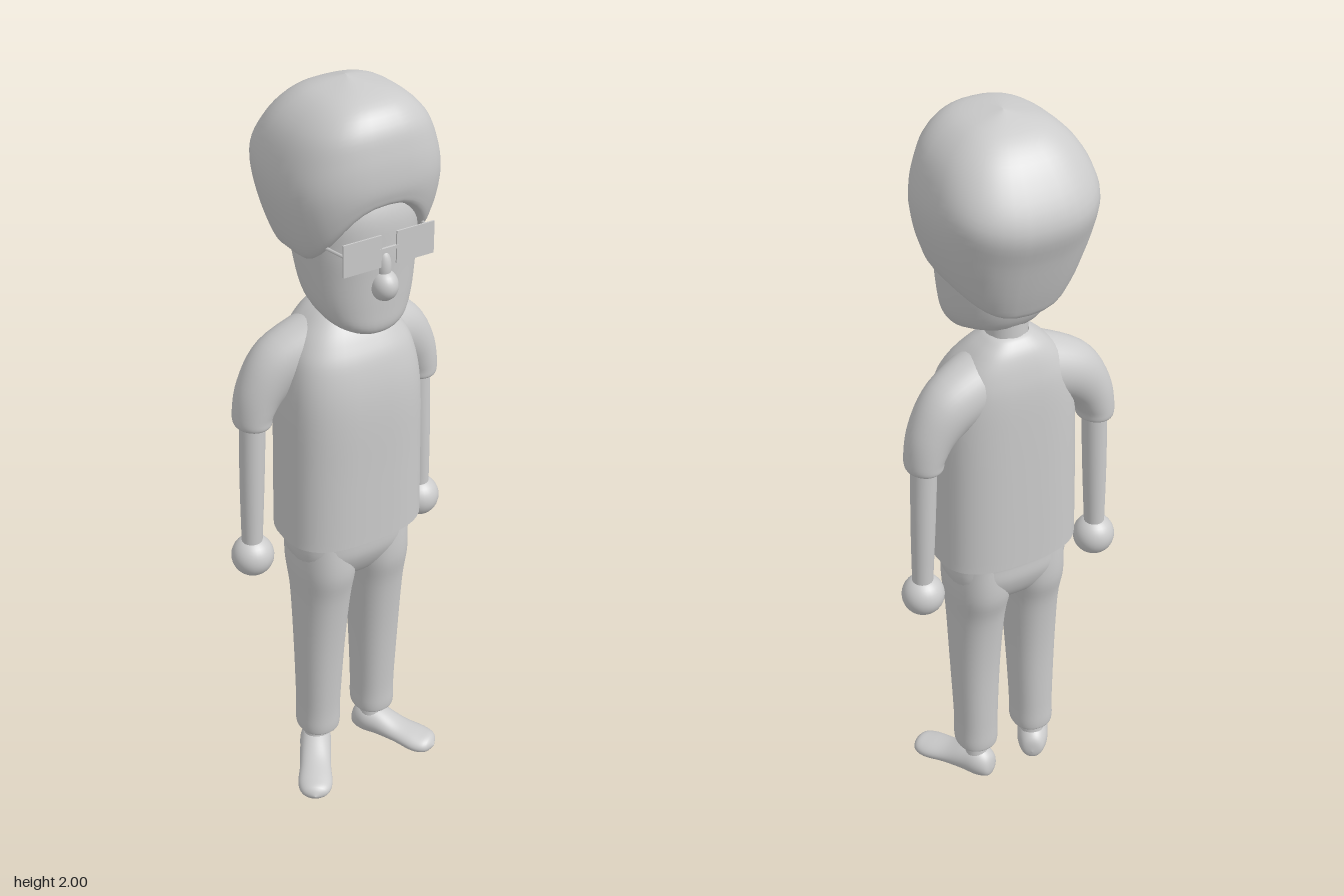
import * as THREE from 'three';

const SEG = 40, STEPS = 5;

// Smoothly interpolate a list of numeric rows (Catmull-Rom on every column).
function refine(rows) {
  const out = [];
  const at = (i) => rows[Math.min(Math.max(i, 0), rows.length - 1)];
  for (let i = 0; i < rows.length - 1; i++) {
    for (let k = 0; k < STEPS; k++) {
      const t = k / STEPS;
      out.push(rows[i].map((p1, c) => {
        const p0 = at(i - 1)[c], p2 = at(i + 1)[c], p3 = at(i + 2)[c];
        return p1 + 0.5 * t * (p2 - p0 + t * (2 * p0 - 5 * p1 + 4 * p2 - p3 + t * (3 * (p1 - p2) + p3 - p0)));
      }));
    }
  }
  out.push(rows[rows.length - 1]);
  return out;
}

// Skin a surface over the rows; ring(row, angle) gives each point, side -1 mirrors in x.
function loft(rows, ring, side = 1) {
  const fine = refine(rows), pos = [], index = [];
  fine.forEach((row, i) => {
    for (let j = 0; j < SEG; j++) {
      const [x, y, z] = ring(row, (j / SEG) * Math.PI * 2);
      pos.push(x * side, y, z);
      if (i === fine.length - 1) continue;
      const a = i * SEG + j, b = a + SEG, c = i * SEG + (j + 1) % SEG, d = c + SEG;
      if (side > 0) index.push(a, b, c, c, b, d);
      else index.push(a, c, b, c, d, b);
    }
  });
  const g = new THREE.BufferGeometry();
  g.setAttribute('position', new THREE.Float32BufferAttribute(pos, 3));
  g.setIndex(index);
  g.computeVertexNormals();
  return g;
}

// Superellipse cosine and sine: e = 2 is round, larger is squarer.
const se = (v, e) => Math.sign(v) * Math.abs(v) ** (2 / e);

// Row [cx, rx, zFront, zBack, y]
const level = (e) => ([cx, rx, zf, zb, y], a) =>
  [cx + rx * se(Math.cos(a), e), y, (zf + zb) / 2 + (zf - zb) / 2 * se(Math.sin(a), e)];

// Row [rx, zFront, zBack, yFront, ySide, yBack]: a ring whose height varies around it
const draped = (e) => ([rx, zf, zb, yf, ys, yb], a) => {
  const s = Math.sin(a), y = ys + ((s > 0 ? yf : yb) - ys) * s * s;
  return [rx * se(Math.cos(a), e), y, (zf + zb) / 2 + (zf - zb) / 2 * se(s, e)];
};

// Row [x, y, z, tilt in degrees, r, rz]: a ring square to a limb in the xy plane
const limb = ([x, y, z, deg, r, rz], a) => {
  const p = THREE.MathUtils.degToRad(deg);
  return [x - Math.sin(p) * r * Math.cos(a), y + Math.cos(p) * r * Math.cos(a), z - rz * Math.sin(a)];
};

// Row [z, halfWidth, yBottom, yTop], turned outward about the ankle
const TOE_OUT = 0.54;
const sole = ([z, w, y0, y1], a) => {
  const x = w * Math.cos(a);
  return [0.092 + x * Math.cos(TOE_OUT) + z * Math.sin(TOE_OUT),
    (y0 + y1) / 2 - (y1 - y0) / 2 * Math.sin(a),
    -0.005 + z * Math.cos(TOE_OUT) - x * Math.sin(TOE_OUT)];
};

export function createModel() {
  const model = new THREE.Group();
  const mat = new THREE.MeshStandardMaterial({ color: 0xcccccc });
  const open = new THREE.MeshStandardMaterial({ color: 0xcccccc, side: THREE.DoubleSide });
  const add = (name, geo, x = 0, y = 0, z = 0, m = mat) => {
    const mesh = new THREE.Mesh(geo, m);
    mesh.name = name;
    mesh.position.set(x, y, z);
    model.add(mesh);
    return mesh;
  };

  // Head, with the jaw rising toward the back
  add('head', loft([
    [0, 0.11, 0.10, 1.418, 1.418, 1.418],
    [0.055, 0.15, 0.05, 1.42, 1.425, 1.43],
    [0.098, 0.168, 0, 1.44, 1.45, 1.455],
    [0.126, 0.172, -0.06, 1.49, 1.5, 1.48],
    [0.14, 0.175, -0.09, 1.57, 1.58, 1.55],
    [0.145, 0.178, -0.1, 1.65, 1.65, 1.64],
    [0.14, 0.172, -0.1, 1.74, 1.72, 1.72],
    [0.09, 0.12, -0.05, 1.82, 1.82, 1.82],
    [0, 0.03, 0.02, 1.84, 1.84, 1.84],
  ], draped(2.2)));

  // Bulky hair, arched over the forehead and low at the nape
  add('hair', loft([
    [0.1, 0.12, -0.06, 1.76, 1.63, 1.57],
    [0.143, 0.18, -0.115, 1.758, 1.61, 1.54],
    [0.175, 0.195, -0.14, 1.78, 1.66, 1.58],
    [0.2, 0.2, -0.18, 1.82, 1.76, 1.7],
    [0.195, 0.195, -0.207, 1.88, 1.84, 1.8],
    [0.16, 0.178, -0.16, 1.94, 1.92, 1.9],
    [0.095, 0.13, -0.095, 1.982, 1.975, 1.965],
    [0, 0.01, 0, 2, 2, 2],
  ], draped(2.6), 1));

  add('nose', new THREE.SphereGeometry(0.035, 24, 16), 0, 1.555, 0.17).scale.set(0.95, 1.1, 1.1);
  add('noseBridge', new THREE.SphereGeometry(0.02, 20, 14), 0, 1.6, 0.168).scale.set(0.9, 2.2, 1);

  // Glasses with flat square lenses
  add('glassesBridge', new THREE.BoxGeometry(0.05, 0.008, 0.006), 0, 1.655, 0.19);
  for (const s of [1, -1]) {
    const side = s > 0 ? 'left' : 'right';
    add(side + 'Eye', new THREE.SphereGeometry(0.022, 20, 14), s * 0.06, 1.652, 0.162);
    add(side + 'Lens', new THREE.BoxGeometry(0.1, 0.08, 0.004), s * 0.07, 1.653, 0.19);
    const temple = new THREE.LineCurve3(
      new THREE.Vector3(s * 0.118, 1.665, 0.19), new THREE.Vector3(s * 0.145, 1.66, 0.02));
    add(side + 'Temple', new THREE.TubeGeometry(temple, 1, 0.004, 6));

    // Short sleeve, bare arm and ball hand
    add(side + 'Sleeve', loft([
      [0.07, 1.335, -0.015, -15, 0.085, 0.085],
      [0.165, 1.295, -0.03, -32, 0.077, 0.072],
      [0.215, 1.235, -0.035, -64, 0.061, 0.062],
      [0.237, 1.175, -0.037, -88, 0.05, 0.056],
      [0.239, 1.147, -0.037, -90, 0.045, 0.052],
      [0.239, 1.143, -0.037, -90, 0.03, 0.035],
    ], limb, s), 0, 0, 0, open);
    add(side + 'Arm', loft([
      [0.239, 1.17, -0.037, -90, 0.033, 0.033],
      [0.247, 0.97, -0.036, -89, 0.031, 0.031],
      [0.254, 0.77, -0.035, -89, 0.026, 0.026],
    ], limb, s));
    add(side + 'Hand', new THREE.SphereGeometry(0.055, 28, 20), s * 0.253, 0.75, -0.035);

    // Trouser leg with a rounded cuff
    add(side + 'TrouserLeg', loft([
      [0.088, 0.02, 0.025, -0.02, 0.125],
      [0.088, 0.05, 0.056, -0.052, 0.122],
      [0.088, 0.058, 0.064, -0.06, 0.14],
      [0.087, 0.058, 0.066, -0.06, 0.22],
      [0.085, 0.065, 0.08, -0.064, 0.42],
      [0.081, 0.073, 0.1, -0.08, 0.6],
      [0.079, 0.082, 0.118, -0.102, 0.7],
      [0.079, 0.08, 0.115, -0.1, 0.8],
    ], level(2.2), s));

    // Ankle and turned-out foot
    add(side + 'Ankle', new THREE.CylinderGeometry(0.028, 0.034, 0.08, 24), s * 0.09, 0.1, -0.005);
    add(side + 'Foot', loft([
      [-0.056, 0, 0.035, 0.036],
      [-0.048, 0.028, 0.01, 0.075],
      [-0.015, 0.042, 0.002, 0.098],
      [0.03, 0.043, 0.006, 0.088],
      [0.09, 0.043, 0.006, 0.064],
      [0.15, 0.047, 0, 0.053],
      [0.185, 0.034, 0.005, 0.045],
      [0.2, 0, 0.022, 0.024],
    ], sole, s));
  }

  // Neck and shirt, open at the hem
  add('neck', new THREE.CylinderGeometry(0.05, 0.055, 0.14, 28), 0, 1.46, -0.012);
  add('shirt', loft([
    [0, 0.19, 0.146, -0.122, 0.81],
    [0, 0.187, 0.146, -0.122, 1.0],
    [0, 0.181, 0.145, -0.121, 1.2],
    [0, 0.165, 0.128, -0.118, 1.31],
    [0, 0.138, 0.1, -0.109, 1.37],
    [0, 0.098, 0.066, -0.094, 1.417],
    [0, 0.065, 0.042, -0.075, 1.444],
    [0, 0.05, 0.036, -0.062, 1.453],
  ], level(2.7)), 0, 0, 0, open);

  // Trouser seat joining the legs
  add('trouserSeat', loft([
    [0, 0.02, 0.015, -0.01, 0.645],
    [0, 0.085, 0.07, -0.06, 0.665],
    [0, 0.14, 0.1, -0.09, 0.7],
    [0, 0.163, 0.122, -0.108, 0.75],
    [0, 0.168, 0.126, -0.108, 0.8],
    [0, 0.168, 0.126, -0.108, 0.85],
    [0, 0, 0.01, 0.009, 0.86],
  ], level(2.6)));

  return model;
}
